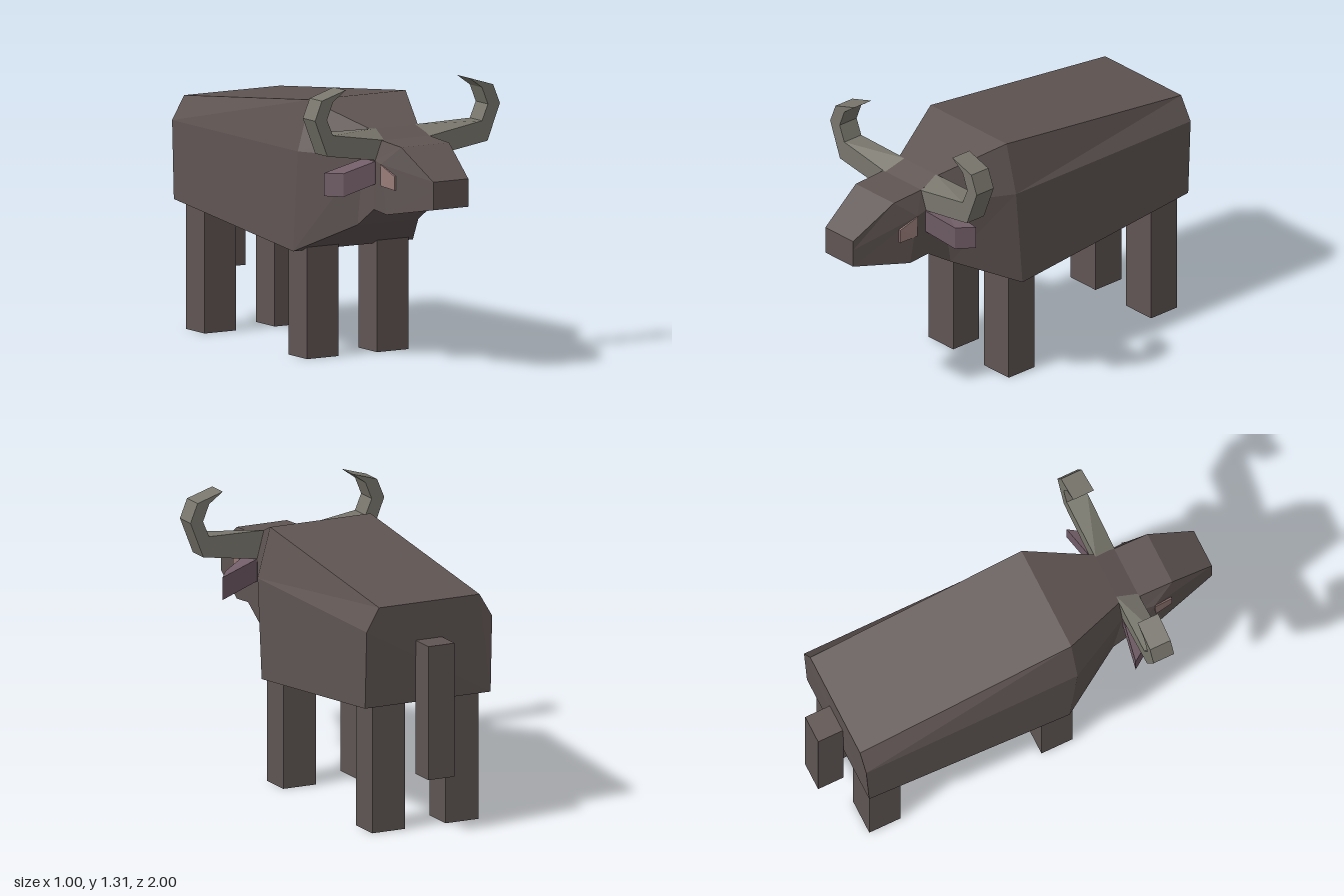
import * as THREE from 'three';

const CX = -0.01; // centre line of the animal
const mat = (color) => new THREE.MeshStandardMaterial({ color, flatShading: true, side: THREE.DoubleSide });
const hide = mat(0x5f5553), hornMat = mat(0x78766c), earMat = mat(0x705c66), eyeMat = mat(0x987c78);

// Skin a list of rings (arrays of [x, y, z]) and close both ends
function loft(rings) {
  const n = rings[0].length, index = [];
  for (let r = 0; r < rings.length - 1; r++) {
    for (let i = 0; i < n; i++) {
      const j = (i + 1) % n, a = r * n, b = a + n;
      index.push(a + i, a + j, b + j, a + i, b + j, b + i);
    }
  }
  const last = (rings.length - 1) * n;
  for (let i = 1; i < n - 1; i++) index.push(0, i + 1, i, last, last + i, last + i + 1);
  const g = new THREE.BufferGeometry();
  g.setAttribute('position', new THREE.Float32BufferAttribute(rings.flat(2), 3));
  g.setIndex(index);
  const flat = g.toNonIndexed();
  flat.computeVertexNormals();
  return flat;
}

export function createModel() {
  const model = new THREE.Group();
  const add = (name, geo, material, parent = model) => {
    const m = new THREE.Mesh(geo, material);
    m.name = name;
    parent.add(m);
    return m;
  };
  const block = (name, x, y0, y1, z0, z1, w) =>
    add(name, new THREE.BoxGeometry(w, y1 - y0, z1 - z0), hide)
      .position.set(CX + x, (y0 + y1) / 2, (z0 + z1) / 2);

  // Each section: top, middle and bottom corner as [half width, y, z]
  const ring = (corners) => [
    ...corners.map(([w, y, z]) => [CX - w, y, z]).reverse(),
    ...corners.map(([w, y, z]) => [CX + w, y, z]),
  ].reverse();
  const rump = [[0.26, 1.08, -0.88], [0.325, 0.97, -0.88], [0.325, 0.605, -0.865]];
  const shoulder = [[0.26, 1.205, 0.2], [0.325, 0.97, 0.2], [0.325, 0.5, 0.16]];
  const neck = [[0.13, 1.1, 0.51], [0.165, 0.97, 0.51], [0.165, 0.65, 0.46]];
  const poll = [[0.13, 1.06, 0.61], [0.165, 0.97, 0.61], [0.165, 0.74, 0.6]];
  const brow = [[0.13, 1.05, 0.78], [0.17, 0.96, 0.67], [0.165, 0.73, 0.71]];
  const muzzle = [[0.095, 0.915, 1], [0.095, 0.87, 1], [0.095, 0.785, 1]];
  // Rings run counter-clockwise seen from the front
  const skin = (list) => loft(list.map((s) => ring(s).reverse()));
  add('body', skin([rump, shoulder, neck]), hide);
  add('head', skin([neck, poll, brow, muzzle]), hide);

  // Legs and tail
  for (const [side, s] of [['left', 1], ['right', -1]]) {
    block(side + 'FrontLeg', s * 0.19, 0, 0.56, 0.04, 0.2, 0.17);
    block(side + 'BackLeg', s * 0.19, 0, 0.64, -0.84, -0.68, 0.17);
  }
  block('tail', 0, 0.265, 0.9, -1, -0.87, 0.135);

  // Horn: flat crescent of even thickness, its root following the slope of the poll
  const outline = [[0.1, 1.1], [0.14, 0.965], [0.435, 1.01], [0.502, 1.18], [0.465, 1.27],
    [0.335, 1.31], [0.405, 1.26], [0.437, 1.18], [0.405, 1.105]];
  const horn = new THREE.ExtrudeGeometry(new THREE.Shape(outline.map(([x, y]) => new THREE.Vector2(x, y))),
    { depth: 0.105, bevelEnabled: false });
  horn.translate(0, 0, 0.507);
  const p = horn.attributes.position;
  for (let i = 0; i < p.count; i++) {
    if (p.getX(i) < 0.12 && p.getZ(i) > 0.6) p.setY(i, 1.055);
  }
  horn.computeVertexNormals();

  // Ear: drooping block with a slanted outer end
  const ear = loft([
    [[0.13, 0.86, 0.51], [0.13, 0.965, 0.51], [0.13, 0.965, 0.62], [0.13, 0.86, 0.62]],
    [[0.17, 0.86, 0.51], [0.17, 0.965, 0.51], [0.17, 0.965, 0.615], [0.17, 0.86, 0.615]],
    [[0.36, 0.803, 0.48], [0.36, 0.91, 0.48], [0.305, 0.913, 0.56], [0.305, 0.805, 0.56]],
  ]);

  // Eye: thin wedge set into the cheek, tapering toward the muzzle
  const eye = loft([
    [[0.13, 0.86, 0.675], [0.13, 0.96, 0.67], [0.12, 0.915, 0.765], [0.12, 0.85, 0.765]],
    [[0.175, 0.86, 0.675], [0.175, 0.96, 0.67], [0.158, 0.915, 0.765], [0.158, 0.85, 0.765]],
  ]);

  for (const [side, s] of [['left', 1], ['right', -1]]) {
    const half = new THREE.Group();
    half.name = side + 'HeadDetails';
    half.scale.x = s;
    add(side + 'Horn', horn, hornMat, half);
    add(side + 'Ear', ear, earMat, half).position.x = s * CX;
    add(side + 'Eye', eye, eyeMat, half).position.x = s * CX;
    model.add(half);
  }
  return model;
}
